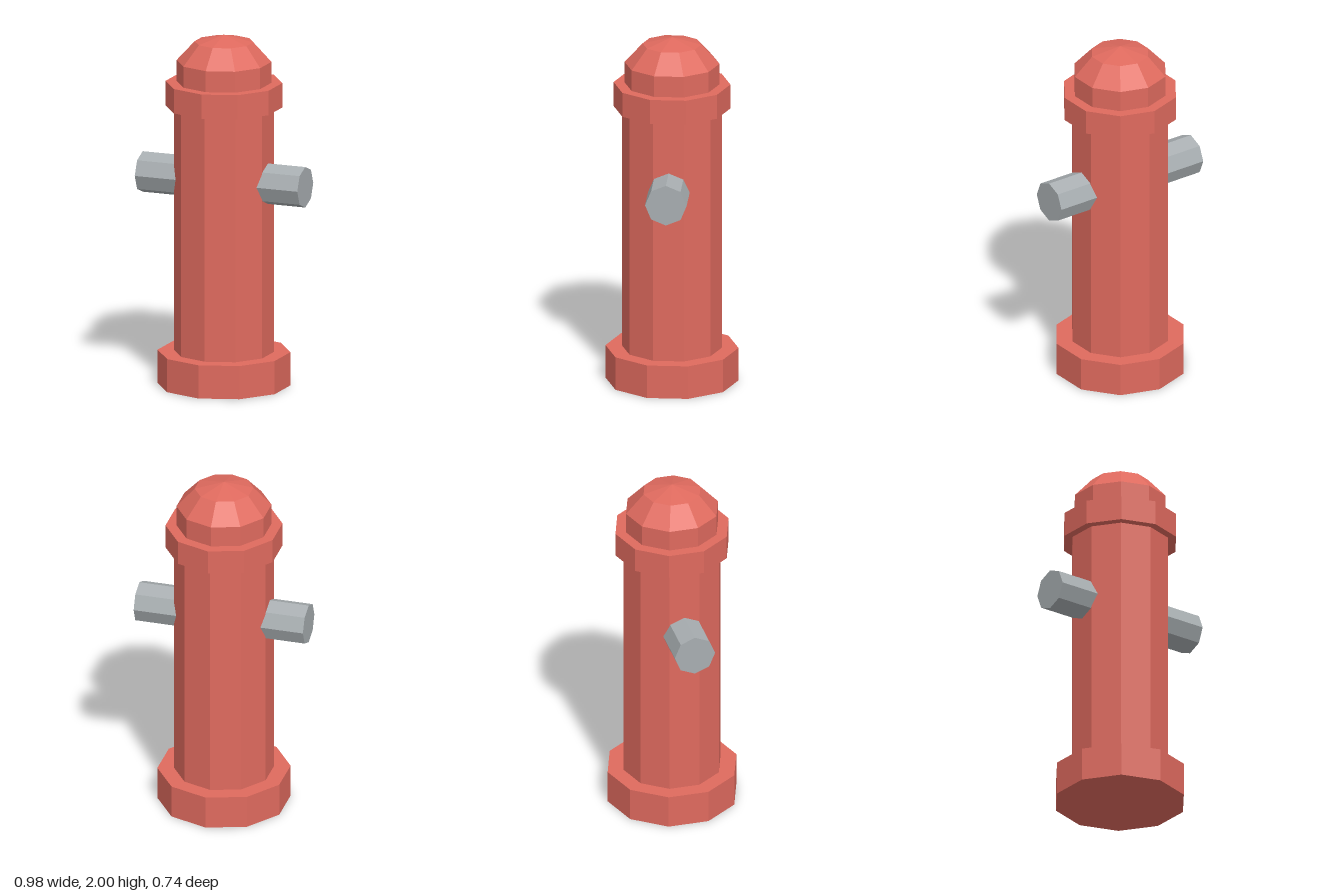
import * as THREE from 'three';

const paintRed = new THREE.MeshStandardMaterial({ color: 0xdf6a5e });
paintRed.name = 'paintRed';
const metalGrey = new THREE.MeshStandardMaterial({ color: 0xa8aeb1 });
metalGrey.name = 'metalGrey';

const SIDES = 10;

// Faceted mesh: split faces so every normal is flat
function facetedMesh(name, geometry, material) {
  const flat = geometry.toNonIndexed();
  flat.computeVertexNormals();
  const mesh = new THREE.Mesh(flat, material);
  mesh.name = name;
  return mesh;
}

// Upright ten-sided section between two heights
function section(name, bottomRadius, topRadius, y0, y1) {
  const geometry = new THREE.CylinderGeometry(topRadius, bottomRadius, y1 - y0, SIDES);
  geometry.translate(0, (y0 + y1) / 2, 0);
  return facetedMesh(name, geometry, paintRed);
}

export function createModel() {
  const hydrant = new THREE.Group();
  hydrant.name = 'fireHydrant';

  // Stacked body, from the ground up
  hydrant.add(
    section('base', 0.371, 0.371, 0, 0.19),
    section('barrel', 0.279, 0.279, 0.19, 1.59),
    section('collar', 0.326, 0.326, 1.59, 1.73),
    section('neck', 0.265, 0.265, 1.73, 1.85),
    section('domeLower', 0.265, 0.164, 1.85, 1.96),
  );

  // Shallow pointed top of the dome
  const tip = new THREE.ConeGeometry(0.164, 0.04, SIDES);
  tip.translate(0, 1.98, 0);
  hydrant.add(facetedMesh('domeTop', tip, paintRed));

  // Octagonal side outlets, mirrored; inner ends sit inside the barrel
  for (const [name, side] of [['leftOutlet', 1], ['rightOutlet', -1]]) {
    const outlet = new THREE.CylinderGeometry(0.116, 0.116, 0.34, 8);
    outlet.rotateZ(Math.PI / 2);
    outlet.translate(side * 0.32, 1.172, 0);
    hydrant.add(facetedMesh(name, outlet, metalGrey));
  }

  return hydrant;
}
